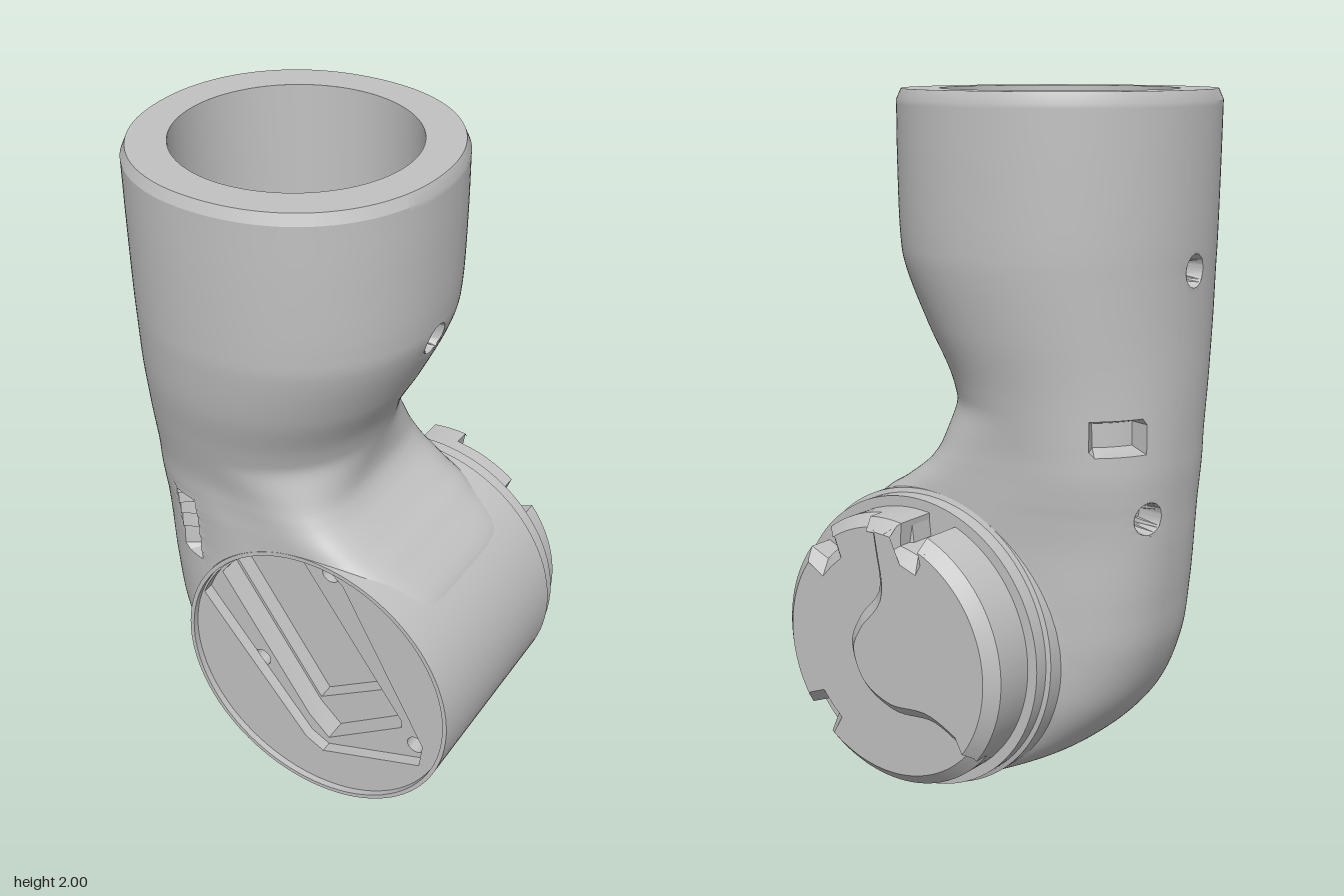
import * as THREE from 'three';
import { toCreasedNormals } from 'three/addons/utils/BufferGeometryUtils.js';

const grey = new THREE.MeshStandardMaterial({ color: 0xc2c2c2 });
grey.name = 'light grey';

// Axis of the horizontal drum (runs along z) and of the upright socket
const CX = 0.112, CY = 0.443, R = 0.443;
const SX = -0.11, SZ = 0.062;

function add(group, name, geometry) {
  const mesh = new THREE.Mesh(geometry, grey);
  mesh.name = name;
  group.add(mesh);
  return mesh;
}

const lathe = (profile) => toCreasedNormals(
  new THREE.LatheGeometry(profile.map(([r, y]) => new THREE.Vector2(r, y)), 96), 0.5);

function plate(shape, depth, bevel = 0) {
  return toCreasedNormals(new THREE.ExtrudeGeometry(shape, {
    depth: depth - 2 * bevel, curveSegments: 48, bevelEnabled: bevel > 0,
    bevelThickness: bevel, bevelSize: bevel, bevelOffset: -bevel, bevelSegments: 1,
  }).translate(0, 0, bevel), 0.5);
}

function disc(x, y, r, holes = []) {
  const shape = new THREE.Shape().absarc(x, y, r, 0, Math.PI * 2, false);
  shape.holes.push(...holes);
  return shape;
}

const circle = (x, y, r) => new THREE.Path().absarc(x, y, r, 0, Math.PI * 2, true);
const polygon = (pts) => new THREE.Path(pts.map(([x, y]) => new THREE.Vector2(x, y))).closePath();

// Pocket outline: straight edges closed by an arc just inside the drum rim
function pocket(pts, r, a0, a1) {
  const path = new THREE.Path().moveTo(...pts[0]);
  pts.slice(1).forEach((p) => path.lineTo(...p));
  return path.absarc(CX, CY, r, a0, a1, false).closePath();
}

// Elbow sections: y, left x, right x, front z, back z
const SECTIONS = [
  [1.97, -0.558, 0.338, 0.51, -0.386], [1.8, -0.557, 0.337, 0.507, -0.386],
  [1.6, -0.555, 0.33, 0.5, -0.383], [1.5, -0.552, 0.31, 0.492, -0.375],
  [1.35, -0.55, 0.24, 0.465, -0.35], [1.2, -0.55, 0.16, 0.42, -0.32],
  [1.05, -0.548, 0.128, 0.377, -0.303], [0.97, -0.547, 0.152, 0.367, -0.3],
  [0.9, -0.543, 0.235, 0.365, -0.3], [0.85, -0.54, 0.315, 0.364, -0.3],
  [0.75, -0.535, 0.43, 0.364, -0.3], [0.6, -0.522, 0.45, 0.364, -0.3],
  [0.45, -0.5, 0.45, 0.364, -0.3], [0.3, -0.44, 0.4, 0.364, -0.3],
  [0.18, -0.345, 0.35, 0.364, -0.3], [0.09, -0.23, 0.26, 0.364, -0.3],
  [0.03, -0.08, 0.15, 0.364, -0.3], [0.004, 0.08, 0.12, 0.364, -0.3],
];

// Screw holes (no half height) and windows: centre, half width, half height, tangent x and z
const DIMPLES = [
  [0.315, 1.52, SZ, 0.047, 0, 0, 1], [-0.552, 1.52, SZ, 0.047, 0, 0, 1],
  [-0.51, 0.855, -0.1, 0.047, 0, 0.4, -0.92],
  [-0.47, 1.09, -0.19, 0.08, 0.05, 0.8, -0.6], [-0.33, 0.825, 0.32, 0.04, 0.115, 1, 0],
];

// Sinks a point that lies in a dimple and snaps points near its edge onto the outline
function carve(p, mx, mz) {
  const snap = 0.011;
  for (const [dx, dy, dz, w, h, tx, tz] of DIMPLES) {
    const u = (p.x - dx) * tx + (p.z - dz) * tz, v = p.y - dy;
    if (Math.abs((p.x - dx) * tz - (p.z - dz) * tx) > 0.15) continue;
    const d = Math.hypot(u, v), du = Math.abs(u) - w, dv = Math.abs(v) - h;
    const edge = h ? Math.max(du, dv) : d - w;
    if (edge > snap) continue;
    if (edge < -snap) {
      p.x += (mx - p.x) * 0.17;
      p.z += (mz - p.z) * 0.17;
      continue;
    }
    const nu = h ? (Math.abs(du) < snap ? Math.sign(u) * w : u) : u * w / d;
    const nv = h ? (Math.abs(dv) < snap ? Math.sign(v) * h : v) : v * w / d;
    p.x += (nu - u) * tx;
    p.z += (nu - u) * tz;
    p.y += nv - v;
  }
}

function elbowGeometry() {
  const rows = 220, cols = 160;
  const spline = (i, j) => new THREE.CatmullRomCurve3(
    SECTIONS.map((s) => new THREE.Vector3(s[i], s[0], s[j])), false, 'catmullrom', 0.5);
  const sides = spline(1, 2), depths = spline(3, 4);
  const pos = [], inside = [], index = [];

  // One rounded section; the exponents square off its left and right halves
  function ring(y, mx, mz, hx, hz, nLeft, nRight) {
    for (let j = 0; j < cols; j++) {
      const a = (j / cols) * Math.PI * 2, c = Math.cos(a), s = Math.sin(a), n = c > 0 ? nRight : nLeft;
      const k = (Math.abs(c) ** n + Math.abs(s) ** n) ** (-1 / n);
      const p = new THREE.Vector3(mx + hx * k * c, y, mz + hz * k * s);
      carve(p, mx, mz);
      // Points inside the drum slide out to its wall
      const r = Math.hypot(p.x - CX, p.y - CY), buried = r < R - 0.006;
      if (buried) {
        const out = (R - 0.006) / Math.max(r, 0.001);
        p.x = CX + (p.x - CX) * out;
        p.y = CY + (p.y - CY) * out;
      }
      inside.push(buried);
      pos.push(p.x, p.y, p.z);
    }
  }

  // Flat rim and chamfer, then the body
  ring(2, SX, SZ, 0.335, 0.335, 2, 2);
  ring(2, SX, SZ, 0.435, 0.435, 2.12, 2.12);
  for (let i = 0; i <= rows; i++) {
    const s = sides.getPoint(i / rows), d = depths.getPoint(i / rows);
    const nLeft = 2.5 - 0.38 * THREE.MathUtils.smoothstep(s.y, 0.6, 1.3);
    const nRight = 6 - 3.88 * THREE.MathUtils.smoothstep(s.y, 0.88, 1.15);
    ring(s.y, (s.x + s.z) / 2, (d.x + d.z) / 2, (s.z - s.x) / 2, (d.x - d.z) / 2, nLeft, nRight);
  }
  for (let i = 0; i < rows + 2; i++) {
    for (let j = 0; j < cols; j++) {
      const a = i * cols + j, b = i * cols + (j + 1) % cols, c = a + cols, d = b + cols;
      if (inside[a] && inside[b] && inside[c] && inside[d]) continue;
      index.push(a, b, c, b, d, c);
    }
  }
  const geo = new THREE.BufferGeometry();
  geo.setAttribute('position', new THREE.Float32BufferAttribute(pos, 3));
  geo.setIndex(index);
  return toCreasedNormals(geo, 0.42);
}

// Arc of the rear cap with square notches cut into its edge
function capArc(a0, a1) {
  const notches = [1.85, 0.82, -0.75], pts = [], n = 120;
  for (let i = 0; i <= n; i++) {
    const a = a0 + (a1 - a0) * i / n;
    const r = notches.some((c) => Math.abs(a - c) < 0.1) ? 0.335 : 0.4;
    pts.push(new THREE.Vector2(CX + r * Math.cos(a), CY + r * Math.sin(a)));
  }
  return pts;
}

export function createModel() {
  const model = new THREE.Group();
  model.name = 'elbowJoint';

  add(model, 'elbowBody', elbowGeometry());

  // Stepped socket bore
  add(model, 'socketBore', lathe([[0.335, 2], [0.335, 1.55], [0.29, 1.55], [0.29, 1.34]])).position.set(SX, 0, SZ);

  // Socket floor with a bracket-shaped recess, slot and two screw holes
  const bracket = polygon([
    [-0.36, -0.14], [-0.3, -0.2], [-0.25, -0.16], [-0.21, -0.195], [-0.19, -0.195], [-0.11, -0.115],
    [-0.07, -0.16], [-0.04, -0.18], [0, -0.17], [0.022, -0.13], [0.01, -0.085], [0, -0.075],
    [0.06, -0.03], [0.03, 0.01], [0.04, 0.03], [-0.07, 0.16], [-0.11, 0.2], [-0.15, 0.19], [-0.2, 0.22],
    [-0.255, 0.165], [-0.285, 0.187], [-0.325, 0.175], [-0.343, 0.135], [-0.33, 0.09],
    [-0.28, 0.03], [-0.36, -0.04], [-0.33, -0.09]].map(([x, z]) => [x, -z]));
  const slot = polygon([[-0.285, 0.08], [-0.24, 0.12], [-0.01, -0.115], [-0.05, -0.155]]);
  const floors = [
    ['socketFloor', 1.4, 0.04, [bracket]],
    ['bracketRecess', 1.37, 0.03, [slot, circle(-0.03, 0.125, 0.028), circle(-0.29, -0.135, 0.028)]],
    ['slotFloor', 1.35, 0.02, []],
  ];
  for (const [name, y, h, holes] of floors) {
    add(model, name, plate(disc(SX, -SZ, 0.292, holes), h).rotateX(-Math.PI / 2).translate(0, y, 0));
  }

  // Drum shell with rear flange and thin front rim
  add(model, 'drum', lathe([[0, -0.35], [0.43, -0.35], [0.43, -0.305], [R, -0.3], [R, 0.365],
    [0.43, 0.365], [0.43, 0.1]]).rotateX(Math.PI / 2)).position.set(CX, CY, 0);

  // Front face: nested plates step down into the pocket
  const outer = pocket([[0.07, 0.17], [0.13, 0.14], [0.46, 0.25], [0.47, 0.33], [0.2, 0.82]], 0.424, 1.49, 2.78);
  const middle = pocket([[0.06, 0.23], [0.13, 0.165], [0.38, 0.335], [0.38, 0.36]], 0.415, 1.775, 2.579);
  const inner = pocket([[0.06, 0.245], [0.325, 0.41]], 0.41, 1.79, 2.56);
  const screws = [[0.14, 0.815], [-0.105, 0.385], [0.43, 0.29]].map(([x, y]) => circle(x, y, 0.028));
  const faces = [
    ['frontFace', 0.31, 0.035, [outer]],
    ['pocketLedge', 0.24, 0.07, [middle, ...screws]],
    ['pocketStep', 0.19, 0.05, [inner]],
    ['pocketFloor', 0.15, 0.04, []],
  ];
  for (const [name, z, h, holes] of faces) {
    add(model, name, plate(disc(CX, CY, 0.431, holes), h).translate(0, 0, z));
  }

  // Rear cap: notched disc with a raised half behind a wavy edge
  add(model, 'capBase', plate(new THREE.Shape(capArc(-Math.PI, Math.PI * 0.999)), 0.18, 0.035)
    .translate(0, 0, -0.462));
  const wave = new THREE.SplineCurve([[-0.14, 0.24], [-0.05, 0.28], [0.08, 0.28], [0.19, 0.34], [0.235, 0.45],
    [0.2, 0.54], [0.13, 0.63], [0.14, 0.74]].map(([x, y]) => new THREE.Vector2(x, y))).getPoints(40);
  add(model, 'capRaisedHalf', plate(new THREE.Shape([...capArc(1.46, 3.8), ...wave]), 0.23, 0.035)
    .translate(0, 0, -0.512));

  return model;
}
